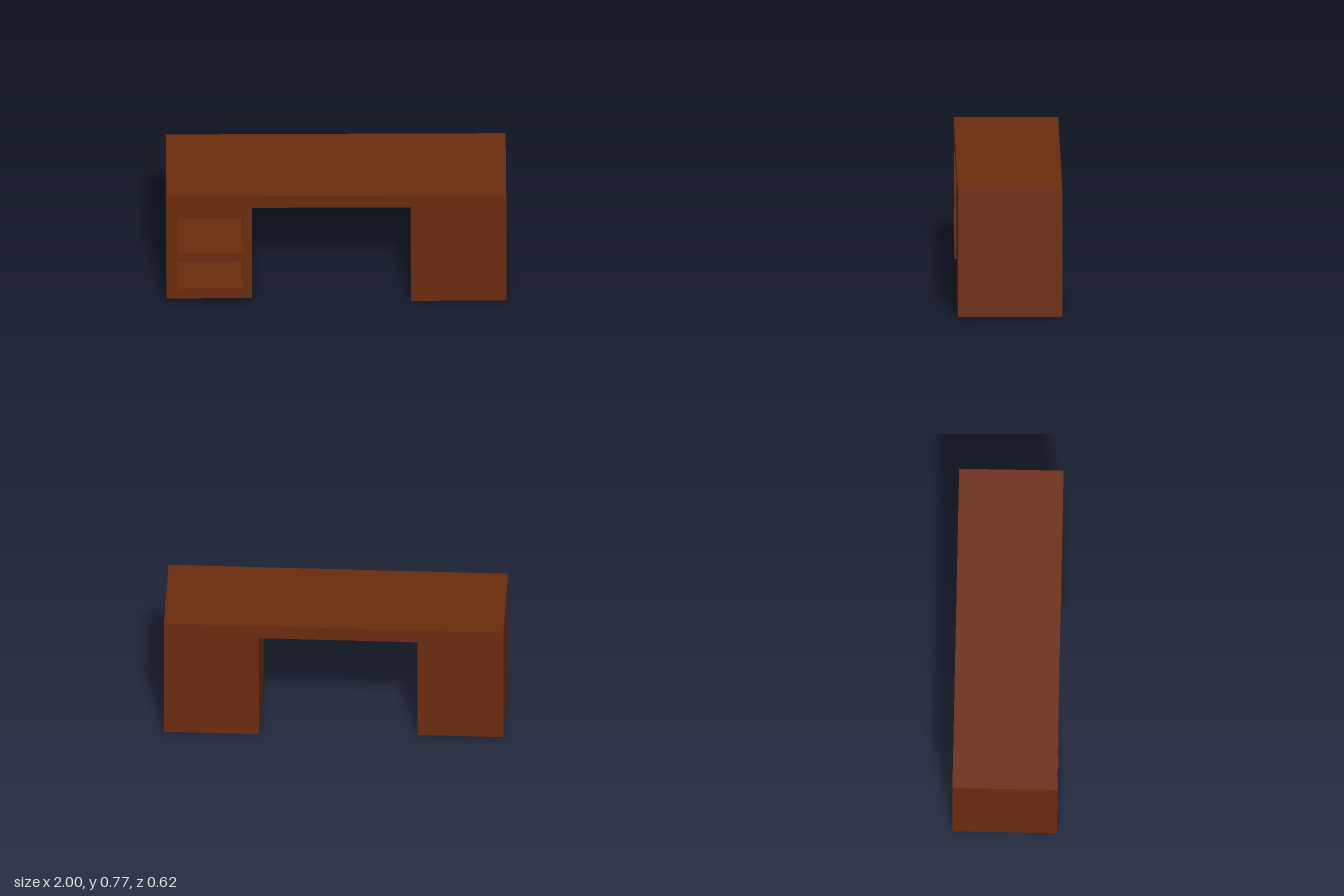
import * as THREE from 'three';

const DEPTH = 0.615;
const BACK = 0.05; // thickness of the closed back behind the niches

// Desk outline seen from the front: two pedestals joined by a thin top
const OUTLINE = [
  [-1, 0.025], [-0.495, 0.025], [-0.495, 0.685], [0.44, 0.685],
  [0.44, 0], [1, 0], [1, 0.77], [-1, 0.77],
];

// Open niches in the pedestal: [x0, y0, x1, y1]
const NICHES = [
  [-0.935, 0.355, -0.55, 0.605],
  [-0.935, 0.095, -0.55, 0.295],
];

const polygon = (points) => points.map(([x, y]) => new THREE.Vector2(x, y));

function slab(name, material, depth, z, niches = []) {
  const shape = new THREE.Shape(polygon(OUTLINE));
  for (const [x0, y0, x1, y1] of niches) {
    shape.holes.push(new THREE.Path(polygon([[x0, y0], [x0, y1], [x1, y1], [x1, y0]])));
  }
  const geometry = new THREE.ExtrudeGeometry(shape, { depth, bevelEnabled: false });
  const mesh = new THREE.Mesh(geometry, material);
  mesh.name = name;
  mesh.position.z = z;
  return mesh;
}

export function createModel() {
  const wood = new THREE.MeshStandardMaterial({ color: 0x6b2c0e });
  wood.name = 'brown wood';

  const desk = new THREE.Group();
  desk.name = 'desk';
  // Main body with the niches cut through, closed by a solid back layer
  desk.add(slab('deskBody', wood, DEPTH - BACK, -DEPTH / 2 + BACK, NICHES));
  desk.add(slab('deskBack', wood, BACK, -DEPTH / 2));
  return desk;
}
